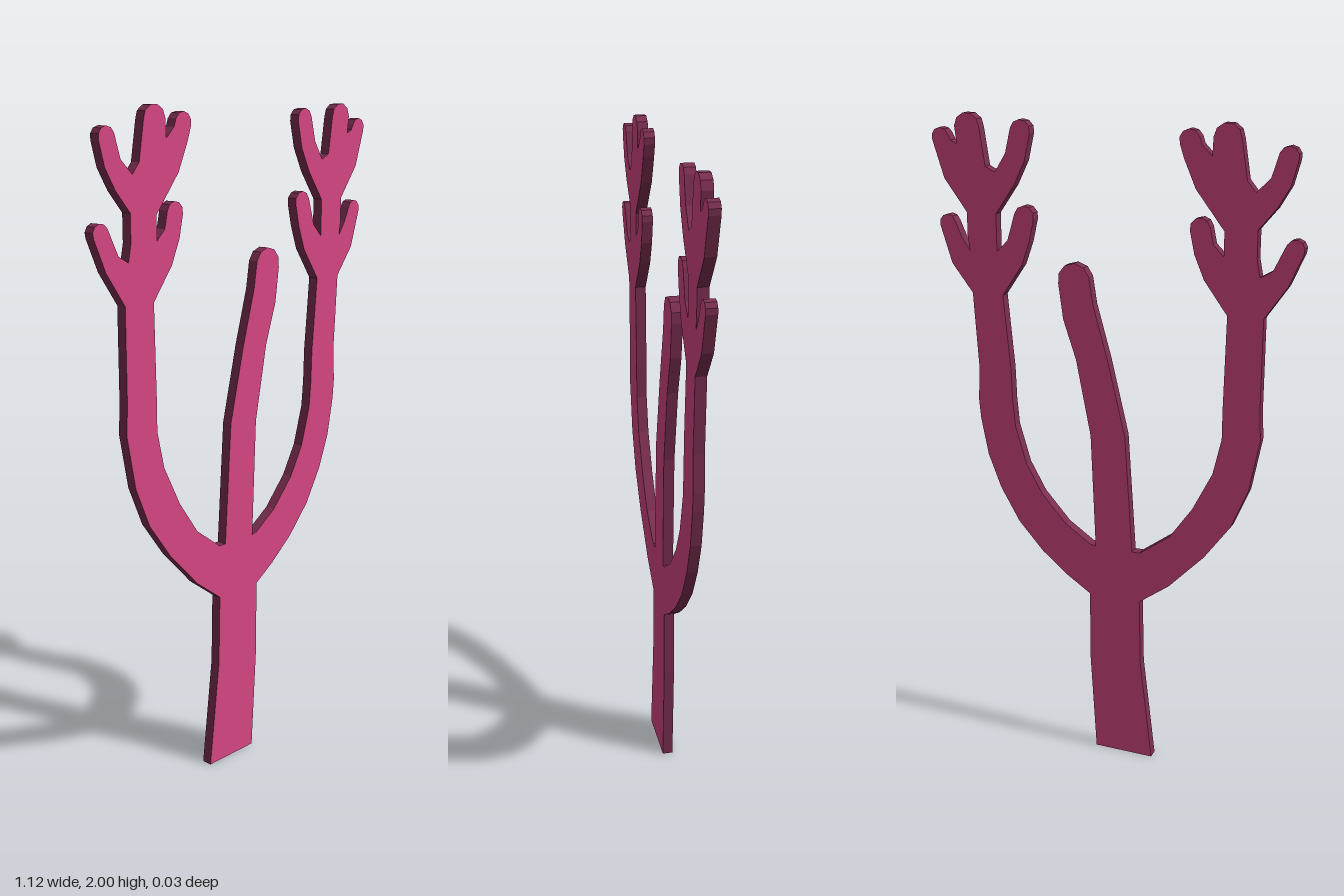
import * as THREE from 'three';

const DEPTH = 0.032;

// Outline entries: [x, y] is a corner; [x, y, r, degrees] is a round tip pointing that way.
// materials: broad faces first, cut edge second.
function plate(name, outline, materials) {
  const points = [];
  for (const [x, y, r, degrees] of outline) {
    if (r === undefined) {
      points.push(new THREE.Vector2(x, y));
      continue;
    }
    for (let i = 0; i <= 5; i++) {
      const a = THREE.MathUtils.degToRad(degrees - 90 + i * 36);
      points.push(new THREE.Vector2(x + r * Math.cos(a), y + r * Math.sin(a)));
    }
  }
  const geometry = new THREE.ExtrudeGeometry(new THREE.Shape(points), { depth: DEPTH, bevelEnabled: false });
  geometry.translate(0, 0, -DEPTH / 2);
  const mesh = new THREE.Mesh(geometry, materials);
  mesh.name = name;
  return mesh;
}

export function createModel() {
  const group = new THREE.Group();
  group.name = 'flatCoral';
  const pink = new THREE.MeshStandardMaterial({ color: 0xd64684 });
  pink.name = 'coral pink';
  const plum = new THREE.MeshStandardMaterial({ color: 0x7a2e50 });
  plum.name = 'dark plum edge';

  // Trunk running up into the leaning middle branch
  const trunk = [
    [-0.14, 0], [0.05, 0], [0.07, 0.33], [0.07, 0.545], [0.07, 0.715], [0.05, 0.71],
    [0.065, 1.07], [0.11, 1.3], [0.15, 1.42],
    [0.116, 1.538, 0.05, 75],
    [0.055, 1.47], [0.01, 1.31], [-0.045, 1.08], [-0.07, 0.71], [-0.095, 0.71], [-0.095, 0.545], [-0.1, 0.33],
  ];

  // Curved arms, outer edge then inner edge
  const leftArm = [
    [0.07, 0.545], [0.145, 0.595], [0.23, 0.665], [0.31, 0.755], [0.37, 0.86], [0.41, 0.965],
    [0.432, 1.08], [0.437, 1.14], [0.432, 1.25], [0.445, 1.475],
    [0.345, 1.475], [0.325, 1.25], [0.322, 1.15], [0.315, 1.07], [0.28, 0.95], [0.23, 0.86],
    [0.15, 0.77], [0.07, 0.715],
  ];
  const rightArm = [
    [-0.095, 0.71], [-0.19, 0.78], [-0.26, 0.88], [-0.32, 1.0], [-0.345, 1.11], [-0.345, 1.2], [-0.35, 1.475],
    [-0.455, 1.475], [-0.455, 1.2], [-0.46, 1.12], [-0.43, 0.96], [-0.38, 0.84], [-0.3, 0.73],
    [-0.19, 0.615], [-0.095, 0.545],
  ];

  // Branching ends: outer twig, three top twigs, inner twig
  const leftTwigs = [
    [0.345, 1.475], [0.445, 1.475], [0.51, 1.56],
    [0.52, 1.679, 0.026, 75],
    [0.475, 1.64], [0.448, 1.6], [0.455, 1.64], [0.455, 1.715], [0.525, 1.81],
    [0.534, 1.928, 0.027, 70],
    [0.5, 1.92], [0.48, 1.91],
    [0.446, 1.96, 0.04, 92],
    [0.39, 1.85], [0.36, 1.835], [0.325, 1.89],
    [0.277, 1.955, 0.031, 102],
    [0.265, 1.87], [0.3, 1.8], [0.36, 1.715], [0.36, 1.605], [0.325, 1.64],
    [0.27, 1.713, 0.031, 105],
    [0.255, 1.64], [0.28, 1.57],
  ];
  const rightTwigs = [
    [-0.455, 1.475], [-0.35, 1.475], [-0.28, 1.57], [-0.25, 1.64],
    [-0.265, 1.713, 0.03, 78],
    [-0.305, 1.67], [-0.335, 1.64], [-0.335, 1.71], [-0.25, 1.82], [-0.215, 1.9],
    [-0.23, 1.95, 0.03, 68],
    [-0.265, 1.94], [-0.295, 1.91],
    [-0.337, 1.96, 0.04, 92],
    [-0.395, 1.85], [-0.42, 1.82], [-0.46, 1.86],
    [-0.507, 1.918, 0.028, 110],
    [-0.515, 1.84], [-0.48, 1.78], [-0.43, 1.72], [-0.43, 1.64], [-0.44, 1.59], [-0.475, 1.61],
    [-0.535, 1.673, 0.027, 118],
    [-0.52, 1.57],
  ];

  const parts = { trunk, leftArm, rightArm, leftTwigs, rightTwigs };
  for (const [name, outline] of Object.entries(parts)) group.add(plate(name, outline, [pink, plum]));
  return group;
}
